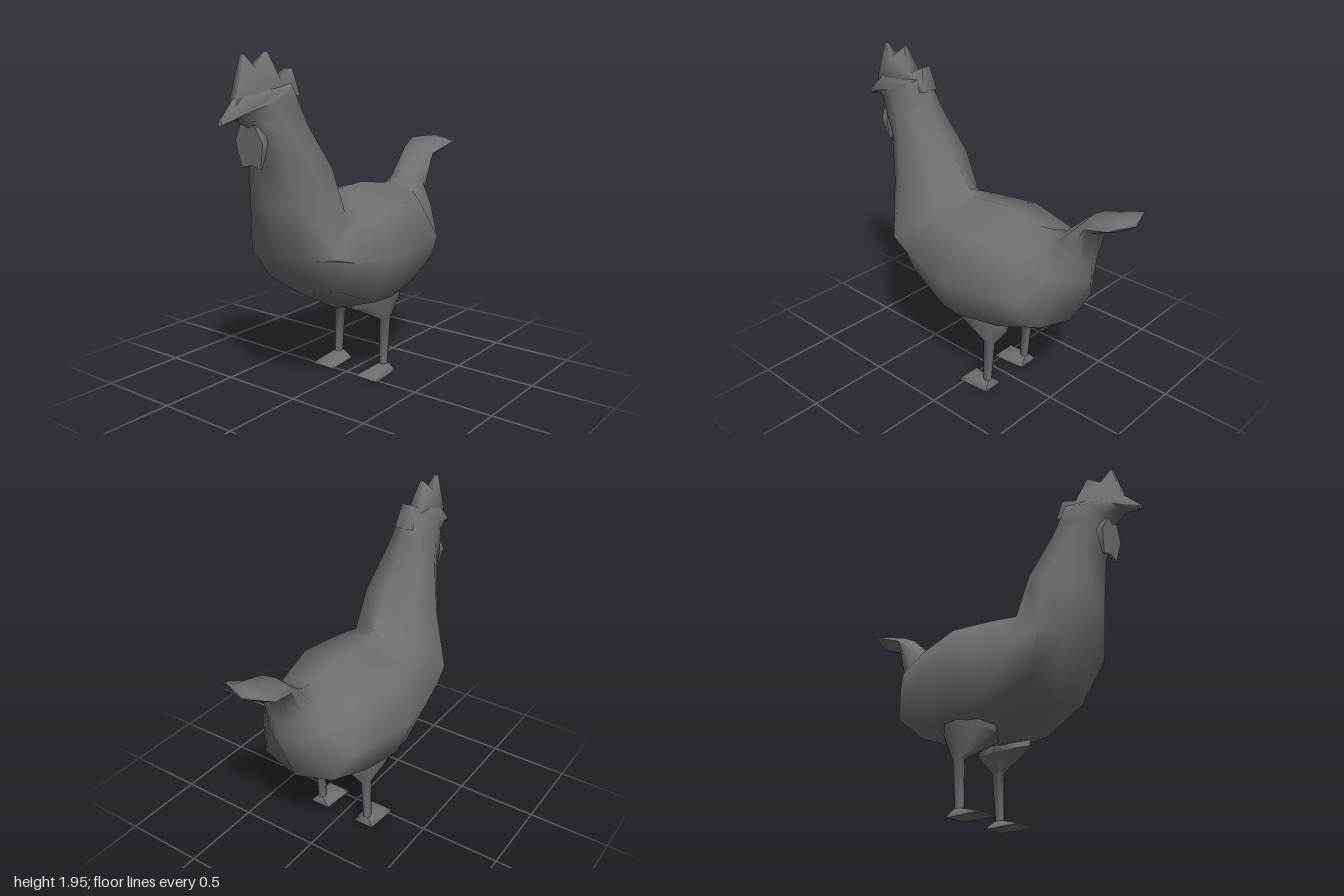
import * as THREE from 'three';
import { toCreasedNormals } from 'three/addons/utils/BufferGeometryUtils.js';

const material = new THREE.MeshStandardMaterial({ color: 0x707070, side: THREE.DoubleSide });

// Skin a closed surface over rings of equal point count, with fan caps.
function loft(rings, crease = 1.2) {
  const n = rings[0].length, pos = rings.flat(2), idx = [];
  for (let r = 0; r < rings.length - 1; r++) {
    for (let i = 0; i < n; i++) {
      const a = r * n + i, b = r * n + (i + 1) % n;
      idx.push(a, b, a + n, b, b + n, a + n);
    }
  }
  const last = (rings.length - 1) * n;
  for (let i = 1; i < n - 1; i++) idx.push(0, i + 1, i, last, last + i, last + i + 1);
  // Turn the faces outward if the ring order made them face inward
  const p = (i) => new THREE.Vector3().fromArray(pos, i * 3);
  let volume = 0;
  for (let i = 0; i < idx.length; i += 3) volume += p(idx[i]).dot(p(idx[i + 1]).cross(p(idx[i + 2])));
  if (volume < 0) idx.reverse();
  const g = new THREE.BufferGeometry();
  g.setAttribute('position', new THREE.Float32BufferAttribute(pos, 3));
  g.setIndex(idx);
  return toCreasedNormals(g, crease);
}

// Eight-sided symmetric section from low, middle and high [z, y] points,
// a half width and a shoulder fullness (0.5 gives a plain diamond).
function section([low, mid, high, w, k = 0.74]) {
  const at = (x, end, t) => [x, mid[1] + (end[1] - mid[1]) * t, mid[0] + (end[0] - mid[0]) * t];
  return [at(0, low, 1), at(w * k, low, k), at(w, low, 0), at(w * k, high, k),
    at(0, high, 1), at(-w * k, high, k), at(-w, low, 0), at(-w * k, low, k)];
}

// Eight-sided oval, rising outward by the given tilt
const oval = (y, cx, cz, rx, rz, tilt = 0) => Array.from({ length: 8 }, (_, i) => {
  const a = (i * Math.PI) / 4, dx = rx * Math.cos(a);
  return [cx + dx, y + dx * tilt, cz + rz * Math.sin(a)];
});

function add(parent, name, geometry) {
  const mesh = new THREE.Mesh(geometry, material);
  mesh.name = name;
  parent.add(mesh);
}

export function createModel() {
  const model = new THREE.Group();
  model.name = 'hen';

  // One continuous skin from tail tip over the back and neck to the beak
  add(model, 'body', loft([
    // tail
    [[-1, 1.335], [-0.94, 1.345], [-1, 1.355], 0.163, 0.5],
    [[-0.96, 1.31], [-0.925, 1.34], [-0.965, 1.37], 0.16, 0.6],
    [[-0.785, 1.24], [-0.76, 1.28], [-0.735, 1.32], 0.118],
    [[-0.745, 1.03], [-0.66, 1.1], [-0.55, 1.15], 0.11],
    // trunk
    [[-0.745, 0.91], [-0.61, 0.98], [-0.46, 1.137], 0.2, 0.58],
    [[-0.62, 0.61], [-0.5, 0.81], [-0.38, 1.13], 0.32],
    [[-0.31, 0.48], [-0.3, 0.8], [-0.26, 1.15], 0.363],
    [[-0.03, 0.44], [-0.03, 0.8], [-0.13, 1.17], 0.412],
    [[0.11, 0.44], [0.13, 0.8], [0.02, 1.16], 0.39],
    [[0.41, 0.6], [0.36, 0.83], [0.125, 1.15], 0.346],
    // breast and neck
    [[0.64, 0.86], [0.5, 0.87], [0.16, 1.19], 0.315, 0.65],
    [[0.68, 1.15], [0.5, 1.23], [0.29, 1.37], 0.238, 0.72],
    [[0.72, 1.42], [0.6, 1.49], [0.44, 1.58], 0.15, 0.78],
    // head and beak
    [[0.81, 1.57], [0.66, 1.61], [0.455, 1.66], 0.117, 0.78],
    [[0.83, 1.585], [0.72, 1.7], [0.49, 1.8], 0.1],
    [[0.89, 1.617], [0.86, 1.66], [0.86, 1.77], 0.063, 0.6],
    [[0.92, 1.615], [0.91, 1.64], [0.9, 1.735], 0.048, 0.6],
    [[1, 1.595], [1, 1.61], [1, 1.63], 0.012],
  ].map(section)));

  // Comb: pointed side outline, thinning toward the tips
  const outline = [[0.92, 1.66], [0.9, 1.74], [0.84, 1.94], [0.77, 1.87], [0.67, 1.95],
    [0.6, 1.81], [0.5, 1.86], [0.47, 1.72]];
  const comb = new THREE.ExtrudeGeometry(
    new THREE.Shape(outline.map(([z, y]) => new THREE.Vector2(-z, y))),
    { depth: 2, bevelEnabled: false }).translate(0, 0, -1).rotateY(Math.PI / 2);
  const cp = comb.attributes.position;
  for (let i = 0; i < cp.count; i++) {
    const taper = THREE.MathUtils.mapLinear(cp.getY(i), 1.66, 1.95, 0.065, 0.012);
    cp.setX(i, cp.getX(i) * (cp.getZ(i) > 0.88 ? 0.025 : taper));
  }
  add(model, 'comb', toCreasedNormals(comb, 1.6));

  // Wattle: thin notched flap under the chin
  const flap = [[-0.095, 1.5], [-0.08, 1.43], [-0.065, 1.365], [0, 1.383], [0.065, 1.365],
    [0.08, 1.43], [0.095, 1.5], [0.05, 1.59], [-0.05, 1.59]];
  const wattle = new THREE.ExtrudeGeometry(new THREE.Shape(flap.map((p) => new THREE.Vector2(...p))),
    { depth: 1, bevelEnabled: false });
  const wp = wattle.attributes.position;
  for (let i = 0; i < wp.count; i++) {
    const t = (wp.getY(i) - 1.365) / 0.225;
    wp.setZ(i, 0.785 + (wp.getZ(i) - 0.5) * (0.012 + 0.05 * t));
  }
  add(model, 'wattle', toCreasedNormals(wattle, 1));

  // Legs and feet, mirrored
  for (const side of [1, -1]) {
    const leg = new THREE.Group();
    leg.name = side > 0 ? 'leftLeg' : 'rightLeg';
    const m = (ring) => ring.map(([x, y, z]) => [x * side, y, z]);
    add(leg, 'thighAndShank', loft([
      oval(0.56, 0.16, -0.09, 0.115, 0.17, 0.35), oval(0.452, 0.15, -0.09, 0.12, 0.185, 0.3),
      oval(0.34, 0.173, -0.158, 0.028, 0.041), oval(0.03, 0.174, -0.143, 0.023, 0.026),
    ].map(m)));
    add(leg, 'foot', loft([
      [[0.105, 0.004, -0.18], [0.23, 0.004, -0.18], [0.245, 0, 0.03], [0.09, 0, 0.03]],
      [[0.105, 0.015, -0.182], [0.23, 0.015, -0.182], [0.245, 0.007, 0.03], [0.09, 0.007, 0.03]],
      [[0.152, 0.055, -0.168], [0.197, 0.055, -0.168], [0.197, 0.055, -0.118], [0.152, 0.055, -0.118]],
    ].map(m), 0.9));
    model.add(leg);
  }
  return model;
}
